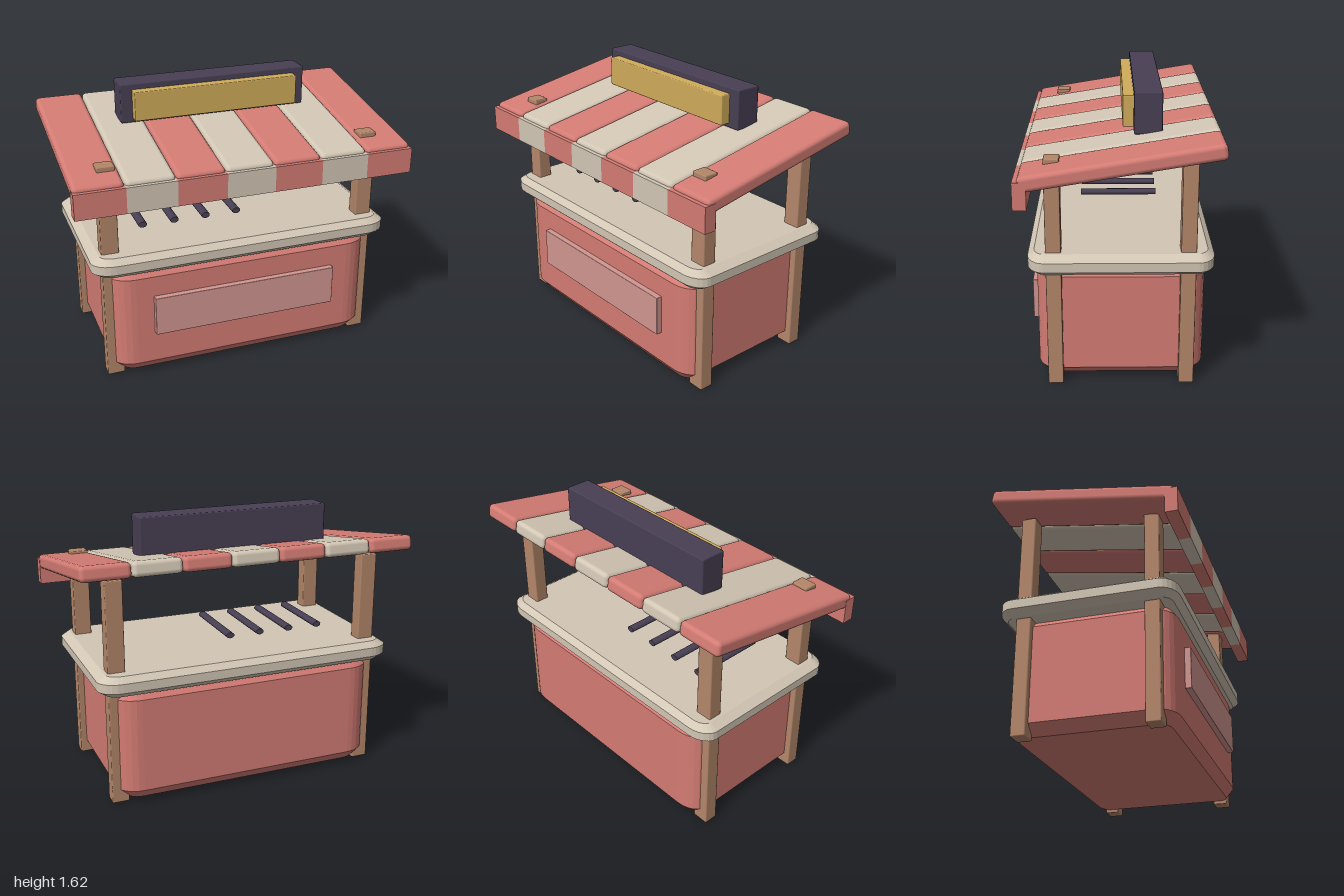
import * as THREE from 'three';
import { RoundedBoxGeometry } from 'three/addons/geometries/RoundedBoxGeometry.js';

const material = (name, color) => {
  const m = new THREE.MeshStandardMaterial({ color });
  m.name = name;
  return m;
};

// Rounded-corner slab standing on y = 0, chamfered along its top and bottom rims
function slab(width, depth, height, radius, inset, rise, squash) {
  const x = width / 2 - inset, y = depth / squash / 2 - inset, r = radius;
  const s = new THREE.Shape();
  s.moveTo(-x + r, -y);
  s.lineTo(x - r, -y);
  s.absarc(x - r, -y + r, r, -Math.PI / 2, 0);
  s.lineTo(x, y - r);
  s.absarc(x - r, y - r, r, 0, Math.PI / 2);
  s.lineTo(-x + r, y);
  s.absarc(-x + r, y - r, r, Math.PI / 2, Math.PI);
  s.lineTo(-x, -y + r);
  s.absarc(-x + r, -y + r, r, Math.PI, Math.PI * 1.5);
  const g = new THREE.ExtrudeGeometry(s, {
    depth: height - 2 * rise, bevelEnabled: true, bevelSegments: 1,
    bevelSize: inset, bevelThickness: rise, curveSegments: 3,
  });
  g.translate(0, 0, rise);
  g.rotateX(-Math.PI / 2);
  g.scale(1, 1, squash);
  return g;
}

export function createModel() {
  const red = material('red paint', 0xd47c74);
  const cream = material('cream paint', 0xd3c7b5);
  const wood = material('wood', 0xb4876a);
  const dark = material('dark slate', 0x483f54);
  const gold = material('gold', 0xd0ac5b);
  const rose = material('pale rose', 0xd29690);

  const model = new THREE.Group();
  model.name = 'marketStall';
  const add = (name, geometry, mat, x, y, z, parent = model) => {
    const mesh = new THREE.Mesh(geometry, mat);
    mesh.name = name;
    mesh.position.set(x, y, z);
    parent.add(mesh);
    return mesh;
  };

  // Cabinet, counter and front panel
  add('cabinet', slab(1.6, 0.935, 0.68, 0.08, 0.062, 0.06, 0.72), red, 0, 0.02, -0.008);
  add('counter', slab(1.81, 1.015, 0.12, 0.08, 0.05, 0.033, 0.72), cream, 0, 0.68, -0.008);
  add('frontPanel', new RoundedBoxGeometry(1.12, 0.24, 0.05, 1, 0.004), rose, 0, 0.395, 0.47);

  // Four posts; the front pair pokes through the canopy
  const postGeometry = new RoundedBoxGeometry(0.102, 1.325, 0.085, 1, 0.007);
  for (const x of [-0.787, 0.787]) {
    add('frontPost', postGeometry, wood, x, 0.6625, 0.358);
    add('backPost', postGeometry, wood, x, 0.6625, -0.373);
  }

  // Sloping striped canopy with a hanging valance
  const canopy = new THREE.Group();
  canopy.name = 'canopy';
  model.add(canopy);
  const stripe = 2 / 7;
  const plank = new RoundedBoxGeometry(stripe - 0.004, 0.088, 1.08, 2, 0.026);
  const flap = new THREE.BoxGeometry(stripe, 0.15, 0.073);
  for (let i = 0; i < 7; i++) {
    const x = (i - 3) * stripe;
    const mat = i % 2 ? cream : red;
    add('canopyPlank', plank, mat, x, 1.32, -0.01, canopy).rotation.x = 0.164;
    add('valanceFlap', flap, mat, x, 1.177, 0.513, canopy);
  }

  // Blank sign board on the canopy
  add('signBoard', new RoundedBoxGeometry(1.15, 0.235, 0.156, 1, 0.008), dark, 0, 1.4975, -0.158);
  add('signFace', new RoundedBoxGeometry(1.01, 0.175, 0.07, 1, 0.006), gold, 0, 1.4925, -0.055);

  // Row of rods above the counter
  const rod = new THREE.CylinderGeometry(0.026, 0.026, 0.457, 10);
  rod.rotateX(Math.PI / 2);
  rod.scale(1, 0.7, 1);
  for (let i = 0; i < 4; i++) {
    add('grillRod', rod, dark, -0.55 + i * 0.193, 0.862, -0.002);
  }
  return model;
}
